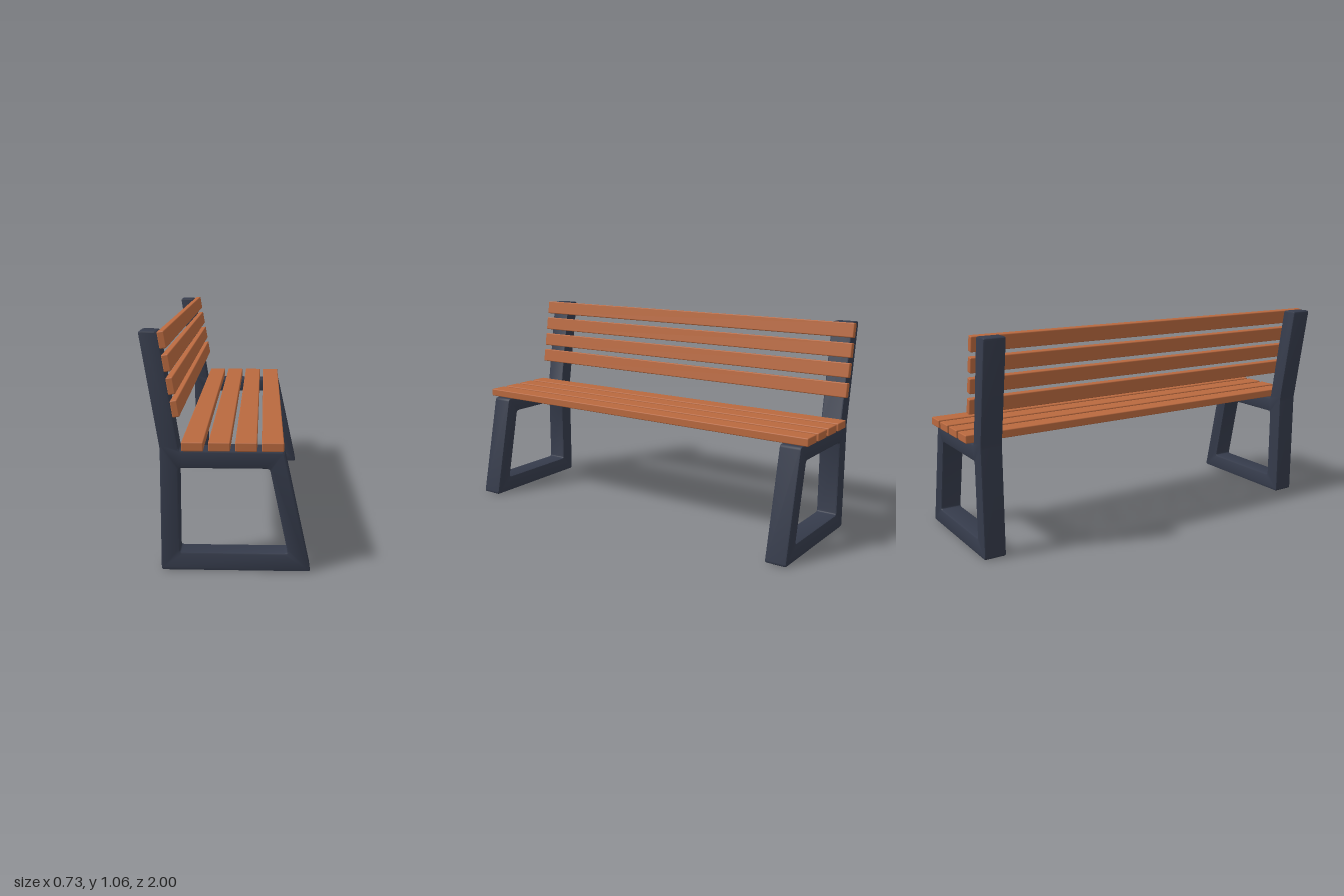
import * as THREE from 'three';
import { toCreasedNormals } from 'three/addons/utils/BufferGeometryUtils.js';
import { RoundedBoxGeometry } from 'three/addons/geometries/RoundedBoxGeometry.js';

// Traces a closed polygon with softly rounded corners
function roundedPath(path, points, r) {
  const pts = points.map(([x, y]) => new THREE.Vector2(x, y));
  const n = pts.length;
  pts.forEach((p, i) => {
    const toward = (q) => q.clone().sub(p).setLength(r).add(p);
    const a = toward(pts[(i + n - 1) % n]);
    const b = toward(pts[(i + 1) % n]);
    if (i === 0) path.moveTo(a.x, a.y);
    else path.lineTo(a.x, a.y);
    path.quadraticCurveTo(p.x, p.y, b.x, b.y);
  });
  path.closePath();
  return path;
}

export function createModel() {
  const bench = new THREE.Group();
  bench.name = 'bench';
  const metal = new THREE.MeshStandardMaterial({ color: 0x353b4b });
  metal.name = 'dark slate metal';
  const wood = new THREE.MeshStandardMaterial({ color: 0xb9693f });
  wood.name = 'warm wood';

  // End frames: foot, leg, seat rail and leaning back post in one loop
  const outline = roundedPath(new THREE.Shape(), [
    [-0.287, 0], [0.369, 0], [0.25, 0.543], [-0.205, 0.543],
    [-0.287, 1.056], [-0.37, 1.056], [-0.287, 0.55],
  ], 0.014);
  outline.holes.push(roundedPath(new THREE.Path(), [
    [-0.207, 0.083], [-0.207, 0.465], [0.187, 0.465], [0.268, 0.083],
  ], 0.014));
  const bevel = 0.008, width = 0.11;
  const frameGeometry = toCreasedNormals(new THREE.ExtrudeGeometry(outline, {
    depth: width - 2 * bevel, curveSegments: 4, bevelEnabled: true,
    bevelSize: bevel, bevelThickness: bevel, bevelOffset: -bevel, bevelSegments: 2,
  }).translate(0, 0, bevel - width / 2), 0.6);
  for (const side of [1, -1]) {
    const frame = new THREE.Mesh(frameGeometry, metal);
    frame.name = side > 0 ? 'nearEndFrame' : 'farEndFrame';
    frame.position.z = side * 0.915;
    bench.add(frame);
  }

  // Seat slats
  const seatGeometry = new RoundedBoxGeometry(0.094, 0.04, 2, 2, 0.005);
  for (let i = 0; i < 4; i++) {
    const slat = new THREE.Mesh(seatGeometry, wood);
    slat.name = `seatSlat${i + 1}`;
    slat.position.set(-0.145 + i * 0.1147, 0.568, 0);
    bench.add(slat);
  }

  // Back slats, leaning with the posts
  const backGeometry = new RoundedBoxGeometry(0.031, 0.073, 1.984, 2, 0.005);
  for (let i = 0; i < 4; i++) {
    const slat = new THREE.Mesh(backGeometry, wood);
    slat.name = `backSlat${i + 1}`;
    slat.position.set(-0.217 - i * 0.0166, 0.73 + i * 0.097, 0);
    slat.rotation.z = 0.16;
    bench.add(slat);
  }
  return bench;
}
